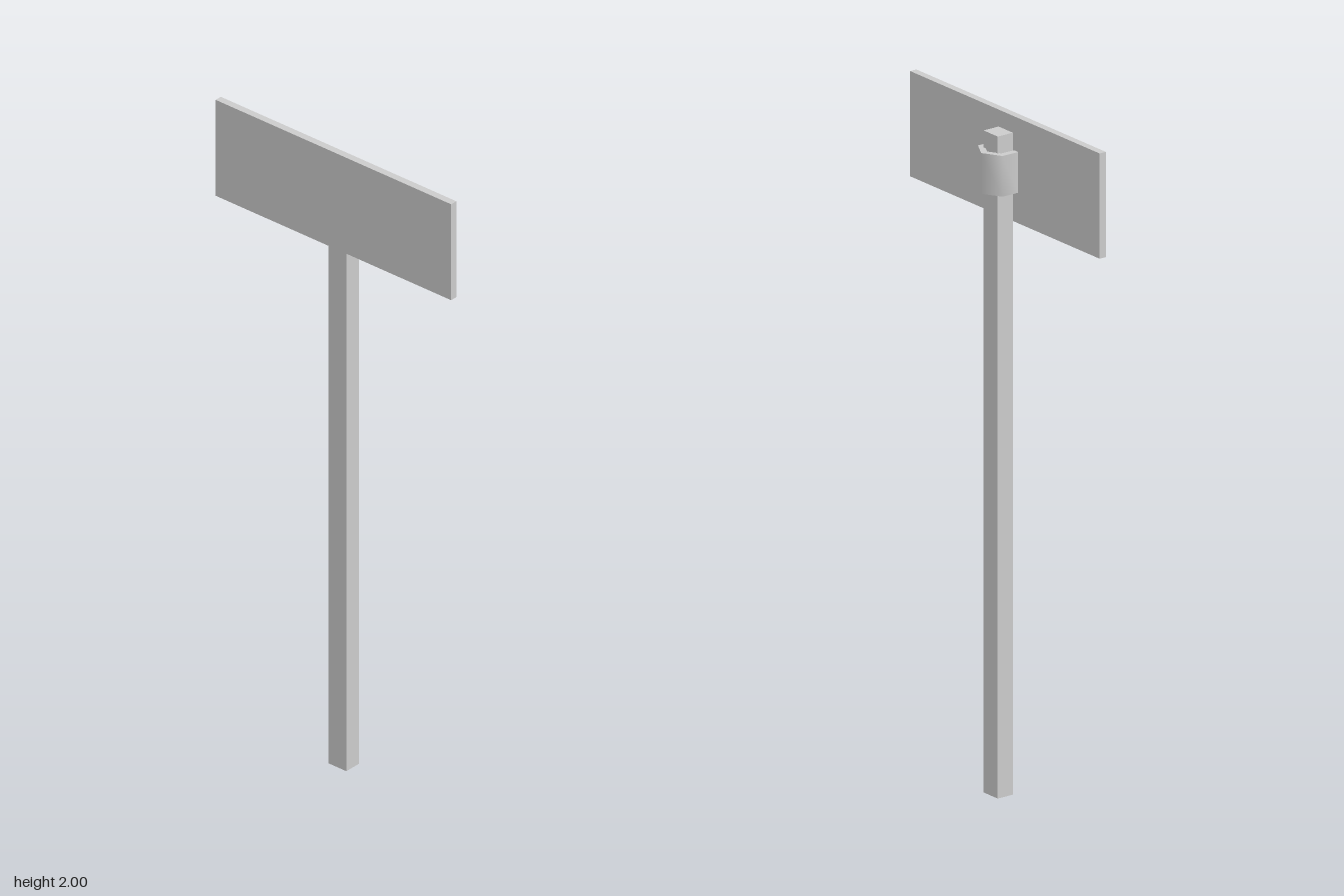
import * as THREE from 'three';
import { toCreasedNormals } from 'three/addons/utils/BufferGeometryUtils.js';

const material = new THREE.MeshStandardMaterial({ color: 0xcccccc });

// Box given by its lower and upper corners
function box(name, [x0, y0, z0], [x1, y1, z1]) {
  const mesh = new THREE.Mesh(new THREE.BoxGeometry(x1 - x0, y1 - y0, z1 - z0), material);
  mesh.position.set((x0 + x1) / 2, (y0 + y1) / 2, (z0 + z1) / 2);
  mesh.name = name;
  return mesh;
}

export function createModel() {
  const group = new THREE.Group();
  group.name = 'signpost';

  const front = 0.031; // plane where post and clamp meet the board
  const axis = -0.004; // centre line of post and clamp

  group.add(box('post', [axis - 0.0325, 0, -0.022], [axis + 0.0325, 1.95, front]));
  group.add(box('signBoard', [-0.433, 1.69, front], [0.433, 2, 0.053]));

  // Peaked clamp wrapping the back of the post, open towards the board
  const profile = [
    [0.056, -front], [0.056, 0.024], [0, 0.056], [-0.056, 0.024], [-0.056, -front],
    [-0.037, -front], [-0.037, 0.0135], [0, 0.035], [0.037, 0.0135], [0.037, -front],
  ].map(([x, y]) => new THREE.Vector2(x + axis - 0.001, y));
  const extruded = new THREE.ExtrudeGeometry(new THREE.Shape(profile), { depth: 0.12, bevelEnabled: false });
  extruded.rotateX(-Math.PI / 2);
  // Wall bends of about 60 degrees shade smoothly, rims stay sharp
  const clamp = new THREE.Mesh(toCreasedNormals(extruded, 1.2), material);
  clamp.position.y = 1.78;
  clamp.name = 'clamp';
  group.add(clamp);

  return group;
}
